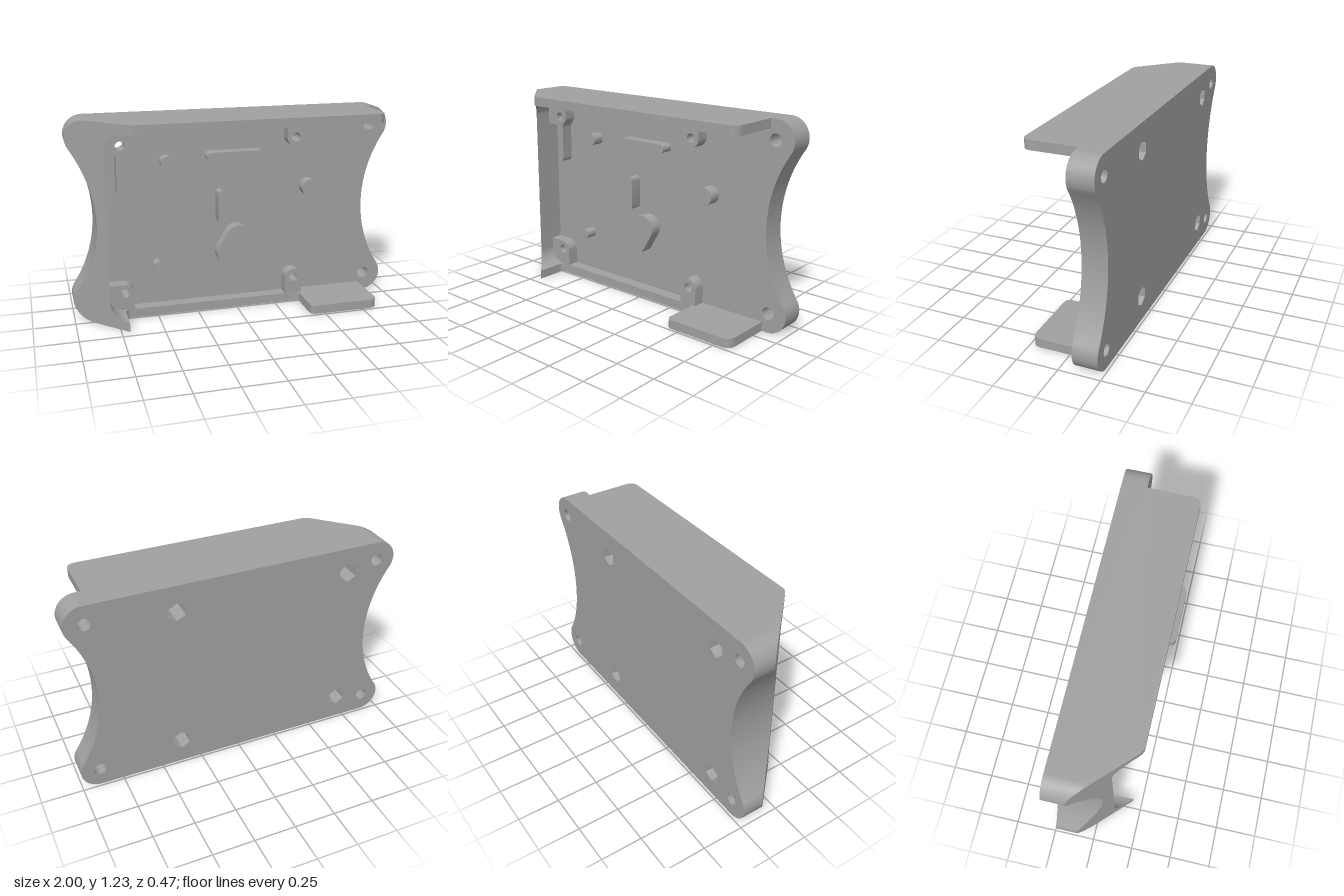
import * as THREE from 'three';
import { toCreasedNormals } from 'three/addons/utils/BufferGeometryUtils.js';

const H = 1.225, MID = H / 2, WALL = 0.055;      // overall height, wall thickness
const BACK = -0.235, STEP = -0.105, FLOOR = -0.085, BOSS = -0.01, FRONT = 0.235;
const SCREWS = [[-0.695, 0.16], [0.375, 0.16], [-0.695, 1.065], [0.375, 1.065]];
const slope = x => x + 0.895;                    // chamfer plane of the left end

const V = (x, y) => new THREE.Vector2(x, y);

// Waisted end contour: rounded corner, concave side, rounded corner (bottom to top)
function endContour() {
  const r = 0.115, R = 0.785, a = Math.atan2(MID - r, 0.75), p = new THREE.Path();
  p.absarc(0.885, r, r, -Math.PI / 2, a, false);
  p.absarc(0.85 + R, MID, R, Math.PI + a, Math.PI - a, true);
  p.absarc(0.885, H - r, r, -a, Math.PI / 2, false);
  return p.getPoints(20);
}

function circle(x, y, r, sides = 28) {
  const pts = [];
  for (let i = 0; i < sides; i++) {
    const t = Math.PI / 2 + (i / sides) * Math.PI * 2;
    pts.push(V(x + r * Math.cos(t), y + r * Math.sin(t)));
  }
  return new THREE.Path(pts);
}

function extrude(shape, z0, z1) {
  const g = new THREE.ExtrudeGeometry(shape, { depth: z1 - z0, bevelEnabled: false, curveSegments: 14 });
  return g.translate(0, 0, z0);
}

// Capsule outline between two centres
function capsule(x1, y1, x2, y2, r) {
  const a = Math.atan2(y2 - y1, x2 - x1), s = new THREE.Shape();
  s.absarc(x2, y2, r, a - Math.PI / 2, a + Math.PI / 2, false);
  s.absarc(x1, y1, r, a + Math.PI / 2, a + Math.PI * 1.5, false);
  return s;
}

export function createModel() {
  const group = new THREE.Group();
  const grey = new THREE.MeshStandardMaterial({ color: 0xa0a0a0 });
  grey.name = 'grey';
  const add = (name, geo) => {
    const m = new THREE.Mesh(toCreasedNormals(geo, 0.5), grey);
    m.name = name;
    group.add(m);
  };

  const right = endContour();
  const left = right.map(p => V(-p.x, p.y)).reverse();

  // Back plate with corner holes and hexagonal nut recesses
  const plate = new THREE.Shape([...right, ...left]);
  for (const x of [-0.885, 0.885])
    for (const y of [0.115, H - 0.115]) plate.holes.push(circle(x, y, 0.037));
  for (const [x, y] of SCREWS) plate.holes.push(circle(x, y, 0.06, 6));
  add('backPlate', extrude(plate, BACK, STEP));

  // Tray floor, closing the nut recesses down to screw holes
  const floor = new THREE.Shape([V(-0.7, 0), ...right, V(-0.7, H),
    V(-0.7, H - 0.03), V(-0.81, H - 0.03), V(-0.81, 0.03), V(-0.7, 0.03)]);
  for (const y of [0.115, H - 0.115]) floor.holes.push(circle(0.885, y, 0.037));
  for (const [x, y] of SCREWS) floor.holes.push(circle(x, y, 0.027));
  add('trayFloor', extrude(floor, STEP, FLOOR));

  // Chamfered left end wall with rounded inner corners
  const inner = new THREE.Path();
  inner.absarc(-0.7, H - WALL - 0.1, 0.1, Math.PI / 2, Math.PI, false);
  inner.absarc(-0.7, WALL + 0.1, 0.1, Math.PI, Math.PI * 1.5, false);
  const end = new THREE.Shape([V(-0.7, H), ...left, V(-0.7, 0), ...inner.getPoints(14).reverse()]);
  const endGeo = extrude(end, STEP, 0);
  const pos = endGeo.attributes.position;
  for (let i = 0; i < pos.count; i++)
    if (pos.getZ(i) > STEP / 2) pos.setZ(i, Math.max(slope(pos.getX(i)), STEP));
  endGeo.computeVertexNormals();
  add('leftEndWall', endGeo);

  // Long walls: profiles in x and z, extruded along y
  const wall = (name, shape, top) =>
    add(name, extrude(shape, 0, WALL).rotateX(Math.PI / 2).translate(0, top, 0));
  const rightEdge = s => {
    s.lineTo(0.8, FRONT);
    s.absarc(0.8, FRONT - 0.05, 0.05, Math.PI / 2, 0, true);
    s.lineTo(0.85, FLOOR);
  };

  const top = new THREE.Shape();
  top.moveTo(-0.7, FLOOR);
  top.lineTo(-0.7, slope(-0.7));
  top.lineTo(-0.685, slope(-0.685));
  top.quadraticCurveTo(-0.66, FRONT, -0.635, FRONT);
  rightEdge(top);
  wall('topWall', top, H);

  // Bottom wall with a long filleted notch
  const bottom = new THREE.Shape(), f = 0.035;
  bottom.moveTo(-0.7, FLOOR);
  bottom.lineTo(-0.7, BOSS + f);
  bottom.absarc(-0.7 + f, BOSS + f, f, Math.PI, Math.PI * 1.5, false);
  bottom.lineTo(0.41 - f, BOSS);
  bottom.absarc(0.41 - f, BOSS + f, f, -Math.PI / 2, 0, false);
  bottom.lineTo(0.41, FRONT - f);
  bottom.absarc(0.41 + f, FRONT - f, f, Math.PI, Math.PI / 2, true);
  rightEdge(bottom);
  wall('bottomWall', bottom, WALL);

  // Screw bosses
  const r = 0.055;
  const boss = (name, shape, [x, y]) => {
    shape.holes.push(circle(x, y, 0.027));
    add(name, extrude(shape, FLOOR, BOSS));
  };
  const [bl, br, tl, tr] = SCREWS;

  const brShape = new THREE.Shape([V(br[0] - r, WALL), V(br[0] + r, WALL)]);
  brShape.absarc(br[0], br[1], r, 0, Math.PI, false);
  boss('bottomRightBoss', brShape, br);

  const trShape = new THREE.Shape([V(tr[0] + r, H - WALL), V(tr[0] - r, H - WALL)]);
  trShape.absarc(tr[0], tr[1], r, Math.PI, Math.PI * 2, false);
  boss('topRightBoss', trShape, tr);

  const blShape = new THREE.Shape([V(-0.8, WALL), V(bl[0] + r, WALL)]);
  blShape.absarc(bl[0], bl[1], r, 0, Math.PI / 2, false);
  blShape.lineTo(-0.8, bl[1] + r);
  boss('bottomLeftBoss', blShape, bl);

  // Top left boss continues down into a slim rib
  const tlShape = new THREE.Shape([V(tl[0] + r, H - WALL), V(-0.8, H - WALL), V(-0.8, tl[1] - r), V(-0.735, tl[1] - r)]);
  tlShape.quadraticCurveTo(-0.72, tl[1] - r, -0.72, 0.99);
  tlShape.lineTo(-0.72, 0.795);
  tlShape.absarc(-0.695, 0.795, 0.025, Math.PI, Math.PI * 2, false);
  tlShape.lineTo(-0.67, 1.0);
  tlShape.quadraticCurveTo(-0.668, 1.015, -0.658, 1.025);
  tlShape.quadraticCurveTo(tl[0] + r, 1.04, tl[0] + r, tl[1]);
  boss('topLeftBoss', tlShape, tl);

  // Round support posts
  for (const [x, y, rad] of [[-0.42, 0.95, 0.037], [0.475, 0.74, 0.052], [-0.485, 0.31, 0.031]])
    add('supportPost', extrude(new THREE.Shape(circle(x, y, rad).getPoints()), FLOOR, BOSS));

  // Elongated support pads
  add('horizontalPad', extrude(capsule(-0.153, 0.97, 0.148, 0.97, 0.026), FLOOR, BOSS));
  add('verticalPad', extrude(capsule(-0.092, 0.577, -0.092, 0.739, 0.021), FLOOR, BOSS));
  add('slantedPad', extrude(capsule(-0.042, 0.36, 0.014, 0.455, 0.078), FLOOR, BOSS));

  return group;
}
